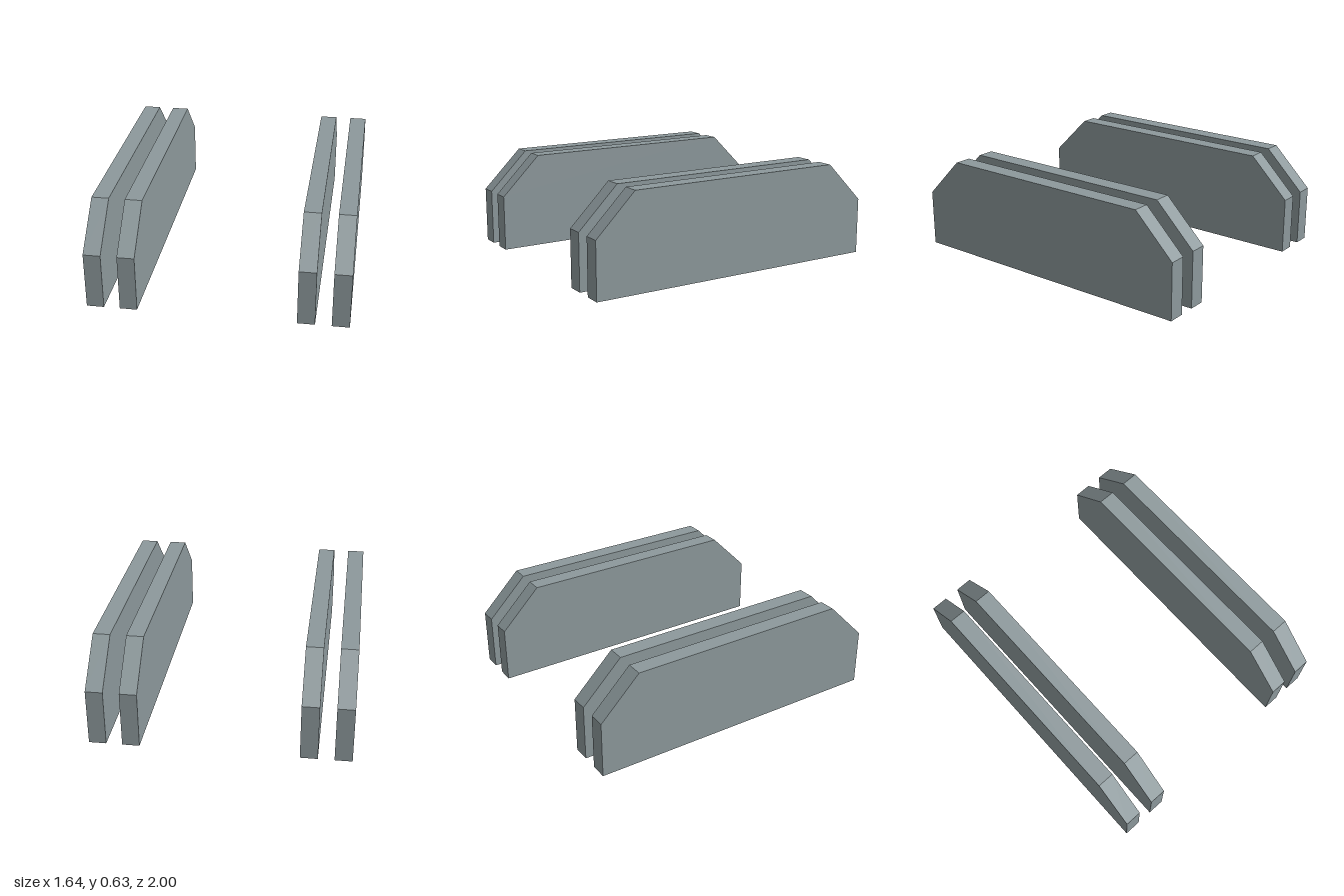
import * as THREE from 'three';

const THICKNESS = 0.11;

// Chamfered plate standing lengthwise along z, hollow and open underneath
function plateGeometry() {
  const shape = new THREE.Shape([
    [-1, 0], [1, 0], [1, 0.37], [0.737, 0.632], [-0.737, 0.632], [-1, 0.37],
  ].map(([z, y]) => new THREE.Vector2(z, y)));
  const solid = new THREE.ExtrudeGeometry(shape, { depth: THICKNESS, bevelEnabled: false });
  solid.translate(0, 0, -THICKNESS / 2);
  solid.rotateY(-Math.PI / 2);

  // Leave out the triangles lying on the ground
  const source = solid.getAttribute('position');
  const kept = [];
  for (let i = 0; i < source.count; i += 3) {
    const corners = [i, i + 1, i + 2];
    if (corners.every((c) => Math.abs(source.getY(c)) < 1e-5)) continue;
    for (const c of corners) kept.push(source.getX(c), source.getY(c), source.getZ(c));
  }
  const shell = new THREE.BufferGeometry();
  shell.setAttribute('position', new THREE.Float32BufferAttribute(kept, 3));
  shell.computeVertexNormals();
  return shell;
}

export function createModel() {
  const model = new THREE.Group();
  model.name = 'pairedPlates';
  const steel = new THREE.MeshStandardMaterial({ color: 0x8d999c, side: THREE.DoubleSide });
  steel.name = 'blue grey steel';
  const geometry = plateGeometry();

  // A pair of parallel plates on each side
  for (const [side, sign] of [['left', 1], ['right', -1]]) {
    const pair = new THREE.Group();
    pair.name = `${side}PlatePair`;
    for (const [place, x] of [['Inner', 0.555], ['Outer', 0.767]]) {
      const plate = new THREE.Mesh(geometry, steel);
      plate.name = `${side}${place}Plate`;
      plate.position.x = sign * x;
      pair.add(plate);
    }
    model.add(pair);
  }
  return model;
}
